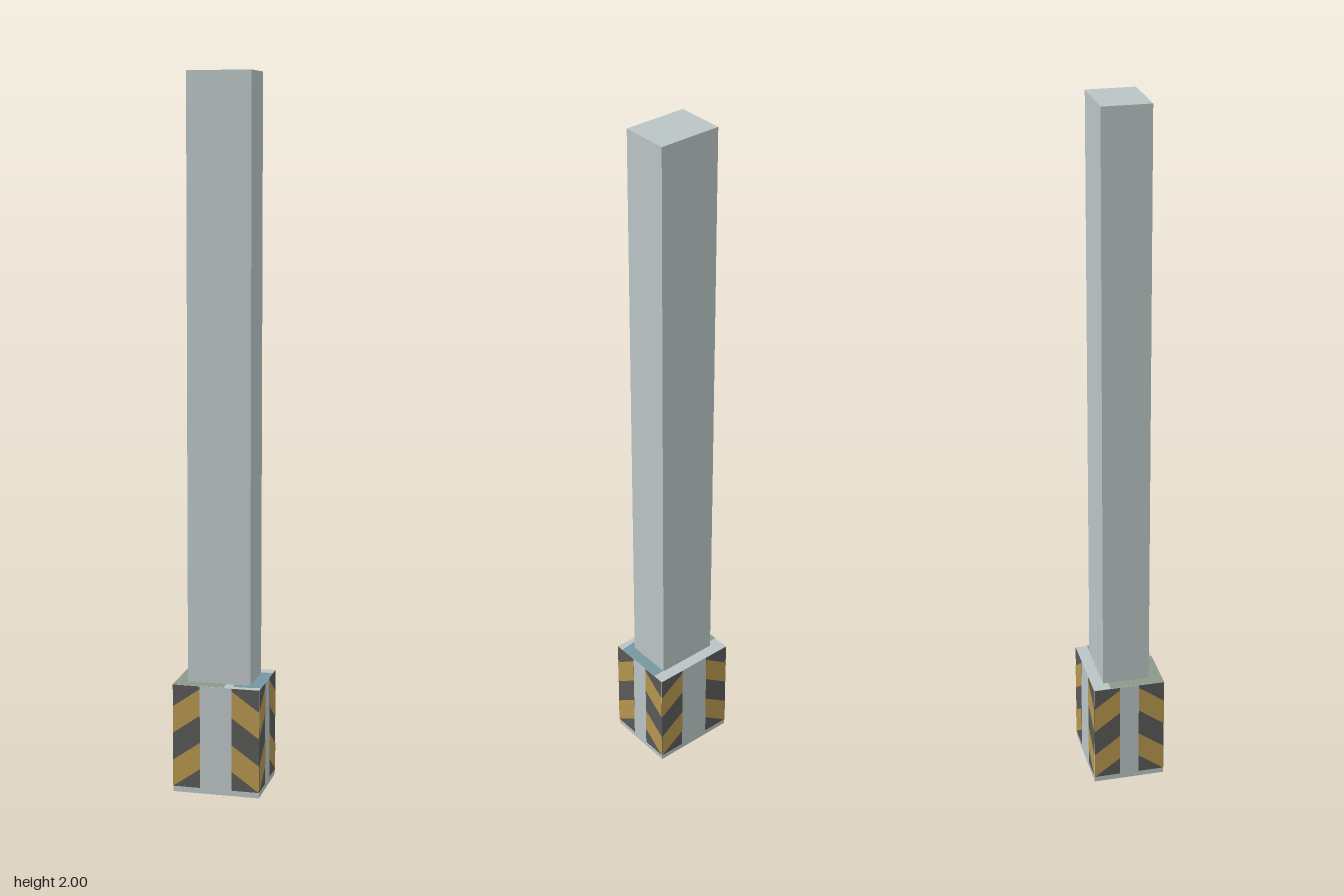
import * as THREE from 'three';

const HX = 0.124, HZ = 0.1035, TOP = 0.312, SKIN = 0.0006;

function material(name, color) {
  const m = new THREE.MeshStandardMaterial({ color });
  m.name = name;
  return m;
}

// Flat polygon facing +z at depth z
function plate(points, z, mat, name) {
  const shape = new THREE.Shape(points.map(([x, y]) => new THREE.Vector2(x, y)));
  const mesh = new THREE.Mesh(new THREE.ShapeGeometry(shape), mat);
  mesh.position.z = z;
  mesh.name = name;
  return mesh;
}

const rect = (x0, x1, y0, y1) => [[x0, y0], [x1, y0], [x1, y1], [x0, y1]];

export function createModel() {
  const concrete = material('pale concrete', 0xbac4c5);
  const yellow = material('hazard yellow', 0xb6964e);
  const dark = material('hazard charcoal', 0x595958);
  const green = material('weathered green', 0x8b9a8a);
  const blue = material('faded blue', 0x7597a0);
  const group = new THREE.Group();
  group.name = 'column';

  // Tall shaft, standing on the base
  const shaft = new THREE.Mesh(new THREE.BoxGeometry(0.18, 2 - TOP, 0.136), concrete);
  shaft.position.set(0, (2 + TOP) / 2, -0.002);
  shaft.name = 'shaft';
  group.add(shaft);

  // Wider base block
  const base = new THREE.Mesh(new THREE.BoxGeometry(HX * 2, TOP, HZ * 2), concrete);
  base.position.y = TOP / 2;
  base.name = 'base';
  group.add(base);

  // Hazard panels beside every corner, stripes falling towards the corner
  for (let i = 0; i < 4; i++) {
    const wide = i % 2 === 0;
    const outer = wide ? HX : HZ, inner = wide ? 0.046 : 0.028, depth = wide ? HZ : HX;
    const side = new THREE.Group();
    side.name = 'hazardSide';
    side.rotation.y = i * Math.PI / 2;
    for (const s of [-1, 1]) {
      side.add(plate(rect(s * inner, s * outer, 0.016, TOP), depth + SKIN, dark, 'hazardPanel'));
      for (const y of [0.016, 0.172]) {
        const stripe = [[s * outer, y], [s * inner, y + 0.055], [s * inner, y + 0.132], [s * outer, y + 0.077]];
        side.add(plate(stripe, depth + 2 * SKIN, yellow, 'hazardStripe'));
      }
    }
    group.add(side);
  }

  // Paint on the ledge around the shaft; local y is -z
  const ledge = new THREE.Group();
  ledge.name = 'ledgePaint';
  ledge.rotation.x = -Math.PI / 2;
  const greenL = [[-HX, -HZ], [0.022, -HZ], [0.022, -0.066], [-0.09, -0.066], [-0.09, 0.055], [-HX, 0.055]];
  const blueL = [[0.045, -0.088], [0.08, -0.087], [HX, -0.082], [HX, 0.069], [0.09, 0.069], [0.09, -0.066], [0.045, -0.066]];
  ledge.add(plate(greenL, TOP + SKIN, green, 'greenLedge'), plate(blueL, TOP + SKIN, blue, 'blueLedge'));
  group.add(ledge);

  // Paint under the base; local y is z
  const under = new THREE.Group();
  under.name = 'undersidePaint';
  under.rotation.x = Math.PI / 2;
  const darkL = [[-0.1, -HZ], [HX, -HZ], [HX, HZ], [0.06, HZ], [0.04, -0.05], [-0.1, -0.085]];
  under.add(plate(darkL, -0.0002, dark, 'undersideDark'));
  for (const [x, z] of [[0.067, -0.033], [0.085, 0.07]]) {
    under.add(plate(rect(x - 0.02, x + 0.02, z - 0.02, z + 0.02), 0.0004, yellow, 'undersideYellow'));
  }
  under.children[0].position.z = 0.0002;
  group.add(under);

  return group;
}
